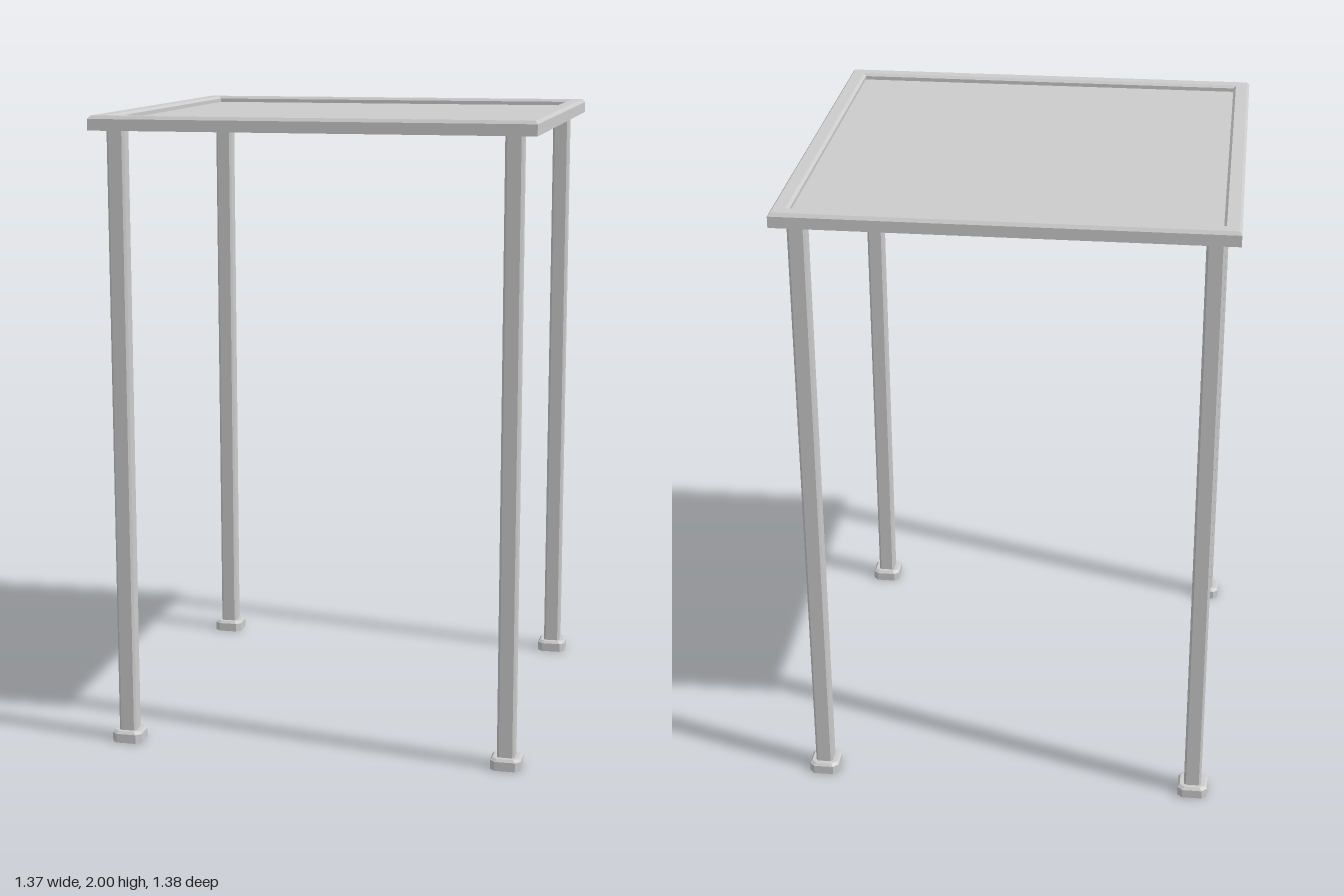
import * as THREE from 'three';

const material = new THREE.MeshStandardMaterial({ color: 0xcccccc, flatShading: true });

// Sweeps a profile of [inset, y] points round a rectangle with cut corners.
// Profile runs upward on the outside; closed profiles form a ring.
function sweep(name, halfX, halfZ, cut, profile, closed = false) {
  const positions = [], index = [];
  const n = cut > 0 ? 8 : 4;
  for (const [inset, y] of profile) {
    const x = halfX - inset, z = halfZ - inset;
    const c = Math.min(cut, x, z);
    const corners = cut > 0
      ? [[x, z - c], [x, c - z], [x - c, -z], [c - x, -z], [-x, c - z], [-x, z - c], [c - x, z], [x - c, z]]
      : [[x, z], [x, -z], [-x, -z], [-x, z]];
    for (const [px, pz] of corners) positions.push(px, y, pz);
  }
  const rows = profile.length;
  for (let r = 0; r < (closed ? rows : rows - 1); r++) {
    for (let i = 0; i < n; i++) {
      const j = (i + 1) % n, s = ((r + 1) % rows) * n;
      const a = r * n + i, b = r * n + j;
      index.push(a, b, s + j, a, s + j, s + i);
    }
  }
  const indexed = new THREE.BufferGeometry();
  indexed.setAttribute('position', new THREE.Float32BufferAttribute(positions, 3));
  indexed.setIndex(index);
  const geometry = indexed.toNonIndexed();
  geometry.computeVertexNormals();
  const mesh = new THREE.Mesh(geometry, material);
  mesh.name = name;
  return mesh;
}

export function createModel() {
  const model = new THREE.Group();
  model.name = 'canopy';

  // Roof: bevelled rim around a recessed flat panel
  model.add(sweep('roofFrame', 0.685, 0.69, 0, [
    [0, 1.955], [0, 1.99], [0.008, 2], [0.045, 2], [0.053, 1.992], [0.053, 1.955],
  ], true));
  const panel = new THREE.Mesh(new THREE.BoxGeometry(1.28, 0.012, 1.29), material);
  panel.name = 'roofPanel';
  panel.position.y = 1.974;
  model.add(panel);

  // Four posts, each standing in a hollow foot
  for (const sx of [-1, 1]) {
    for (const sz of [-1, 1]) {
      const leg = new THREE.Group();
      leg.name = `${sz > 0 ? 'front' : 'back'}${sx > 0 ? 'Left' : 'Right'}Leg`;
      leg.position.set(sx * 0.612, 0, sz * 0.62);
      leg.add(
        sweep('post', 0.028, 0.028, 0.007, [
          [0.028, 0.02], [0, 0.02], [0, 1.97], [0.028, 1.97],
        ]),
        sweep('foot', 0.048, 0.048, 0.016, [
          [0, 0], [0, 0.029], [0.007, 0.037], [0.02, 0.037], [0.02, 0],
        ], true),
      );
      model.add(leg);
    }
  }
  return model;
}
